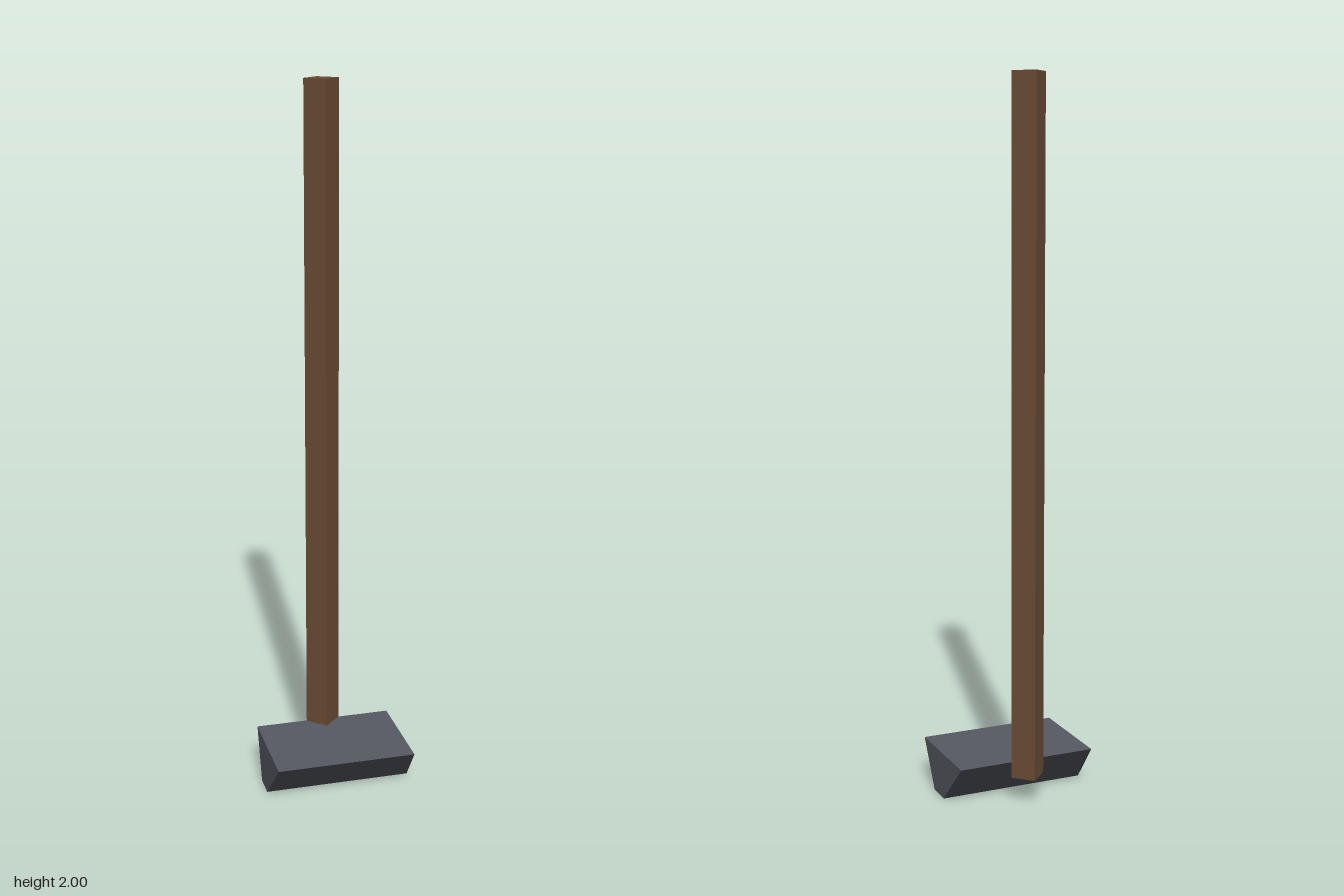
import * as THREE from 'three';

const mat = (name, color) => {
  const m = new THREE.MeshStandardMaterial({ color });
  m.name = name;
  return m;
};

// Give every face its own flat normal
const faceted = (geometry) => {
  const g = geometry.toNonIndexed();
  g.computeVertexNormals();
  return g;
};

export function createModel() {
  const wood = mat('brown wood', 0x6b4c34);
  const iron = mat('dark iron', 0x575a64);
  const group = new THREE.Group();
  group.name = 'hammer';

  // Handle: square shaft set corner-on against the back edge of the head
  const bottom = 0.075, top = 2;
  const shaft = new THREE.CylinderGeometry(0.049, 0.049, top - bottom, 4);
  const handle = new THREE.Mesh(faceted(shaft), wood);
  handle.name = 'handle';
  handle.position.set(0, (top + bottom) / 2, -0.117);
  group.add(handle);

  // Head: block whose underside narrows in depth and flares slightly in width
  const block = new THREE.BoxGeometry(0.4, 0.12, 0.282);
  const p = block.attributes.position;
  for (let i = 0; i < p.count; i++) {
    if (p.getY(i) < 0) {
      p.setX(i, Math.sign(p.getX(i)) * 0.211);
      p.setZ(i, Math.sign(p.getZ(i)) * 0.035);
    }
  }
  const head = new THREE.Mesh(faceted(block), iron);
  head.name = 'head';
  head.position.set(0, 0.06, 0.024);
  group.add(head);

  return group;
}
